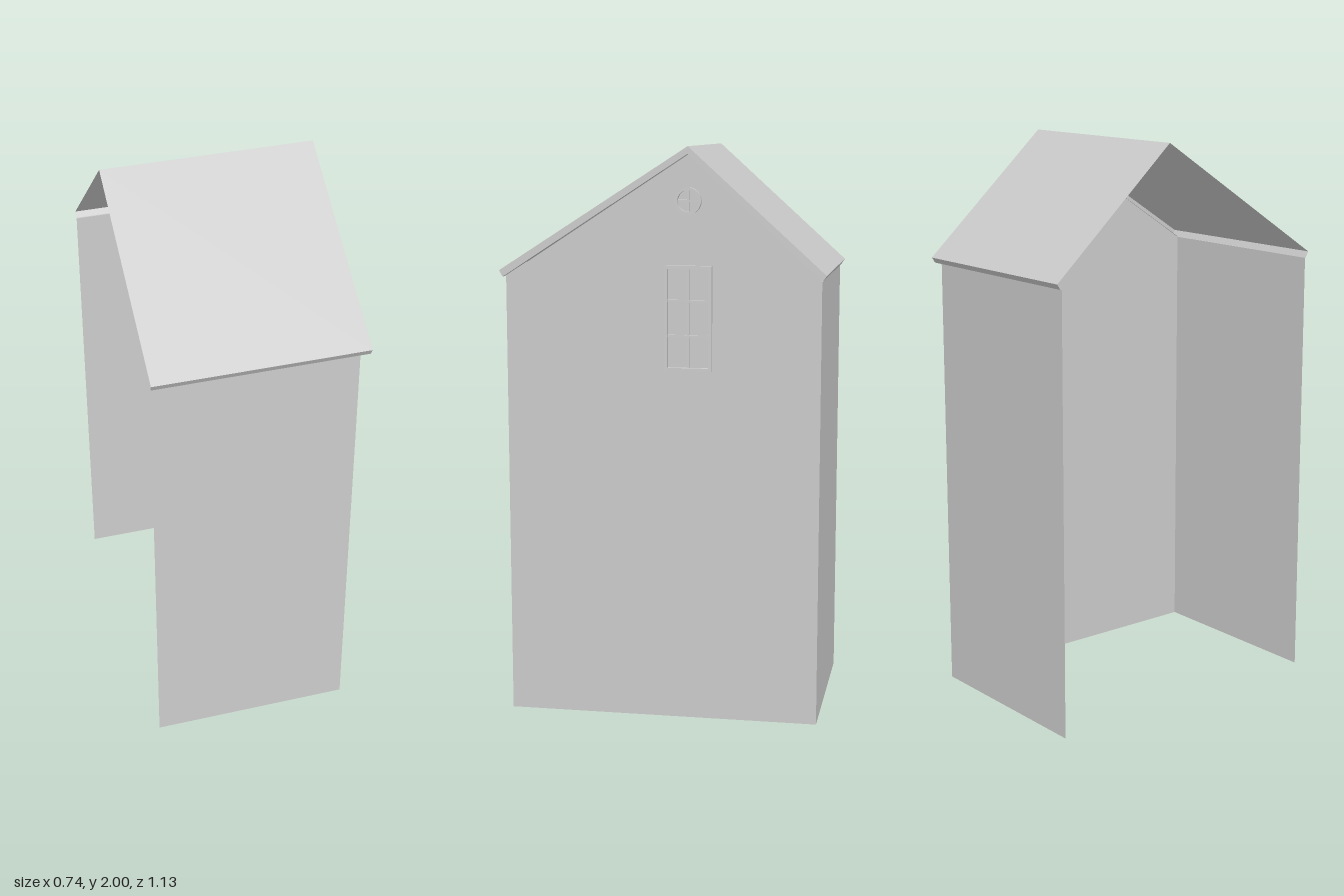
import * as THREE from 'three';

const mat = new THREE.MeshStandardMaterial({ color: 0xcccccc, flatShading: true, side: THREE.DoubleSide });
const LEFT = -0.37, WALL = 0.335, VERGE = 0.37;

// cross-section points as [z, y]
const ridge = [-0.095, 2], ridgeUnder = [-0.095, 1.975];
const eaves = [
  { name: 'front', top: [0.562, 1.578], under: [0.55, 1.556], wall: 0.547 },
  { name: 'back', top: [-0.565, 1.575], under: [-0.552, 1.556], wall: -0.547 },
];

function add(parent, name, geometry, x = 0, y = 0, z = 0) {
  const mesh = new THREE.Mesh(geometry, mat);
  mesh.name = name;
  mesh.position.set(x, y, z);
  parent.add(mesh);
  return mesh;
}

// flat sheet through four corners
function quad(a, b, c, d) {
  const g = new THREE.BufferGeometry();
  g.setAttribute('position', new THREE.Float32BufferAttribute([a, b, c, a, c, d].flat(), 3));
  g.computeVertexNormals();
  return g;
}

// sheet running along x between two section points
function strip(p, q, x0, x1) {
  return quad([x0, p[1], p[0]], [x1, p[1], p[0]], [x1, q[1], q[0]], [x0, q[1], q[0]]);
}

export function createModel() {
  const house = new THREE.Group();
  house.name = 'house';

  // side walls and roof slopes; the far end and the floor stay open
  for (const e of eaves) {
    add(house, e.name + 'Wall', strip([e.wall, 0], [e.wall, 1.556], LEFT, WALL));
    add(house, e.name + 'RoofSlope', strip(ridge, e.top, LEFT, VERGE));
    add(house, e.name + 'Fascia', strip(e.top, e.under, LEFT, VERGE));
    add(house, e.name + 'Soffit', strip(e.under, [e.wall, 1.556], LEFT, VERGE));
    add(house, e.name + 'VergeUnderside', strip(ridgeUnder, e.under, WALL, VERGE));
    const corner = ([z, y]) => [VERGE, y, z];
    add(house, e.name + 'VergeBoard', quad(corner(ridge), corner(e.top), corner(e.under), corner(ridgeUnder)));
  }

  // gable wall, drawn with -z to the right and turned to face +x
  const outline = [[0.547, 0], [-0.547, 0], [-0.547, 1.556], ridgeUnder, [0.547, 1.556]];
  const gable = new THREE.Shape(outline.map(([z, y]) => new THREE.Vector2(-z, y)));
  add(house, 'gableWall', new THREE.ShapeGeometry(gable), WALL).rotation.y = Math.PI / 2;

  // gable window: frame, one upright and two cross bars
  const win = new THREE.Group();
  win.name = 'window';
  win.position.set(WALL, 1.42, -0.0925);
  house.add(win);
  const W = 0.164, H = 0.36, F = 0.011, D = 0.017;
  for (const s of [-1, 1]) {
    add(win, 'windowStile', new THREE.BoxGeometry(D, H, F), D / 2, 0, s * (W - F) / 2);
    add(win, 'windowRail', new THREE.BoxGeometry(D, F, W - 2 * F), D / 2, s * (H - F) / 2, 0);
    add(win, 'windowCrossBar', new THREE.BoxGeometry(0.008, 0.007, W - 2 * F), 0.004, s * H / 6, 0);
  }
  add(win, 'windowUpright', new THREE.BoxGeometry(0.008, H - 2 * F, 0.007), 0.004, 0, 0);

  // round attic window: ring with a cross
  const round = new THREE.Group();
  round.name = 'roundWindow';
  round.position.set(WALL, 1.818, -0.0925);
  house.add(round);
  const ring = new THREE.Shape().absarc(0, 0, 0.045, 0, Math.PI * 2);
  ring.holes.push(new THREE.Path().absarc(0, 0, 0.036, 0, Math.PI * 2));
  const ringGeo = new THREE.ExtrudeGeometry(ring, { depth: D, bevelEnabled: false, curveSegments: 24 });
  add(round, 'roundFrame', ringGeo).rotation.y = Math.PI / 2;
  add(round, 'roundUpright', new THREE.BoxGeometry(0.008, 0.074, 0.007), 0.004);
  add(round, 'roundCrossBar', new THREE.BoxGeometry(0.008, 0.007, 0.074), 0.004);

  return house;
}
